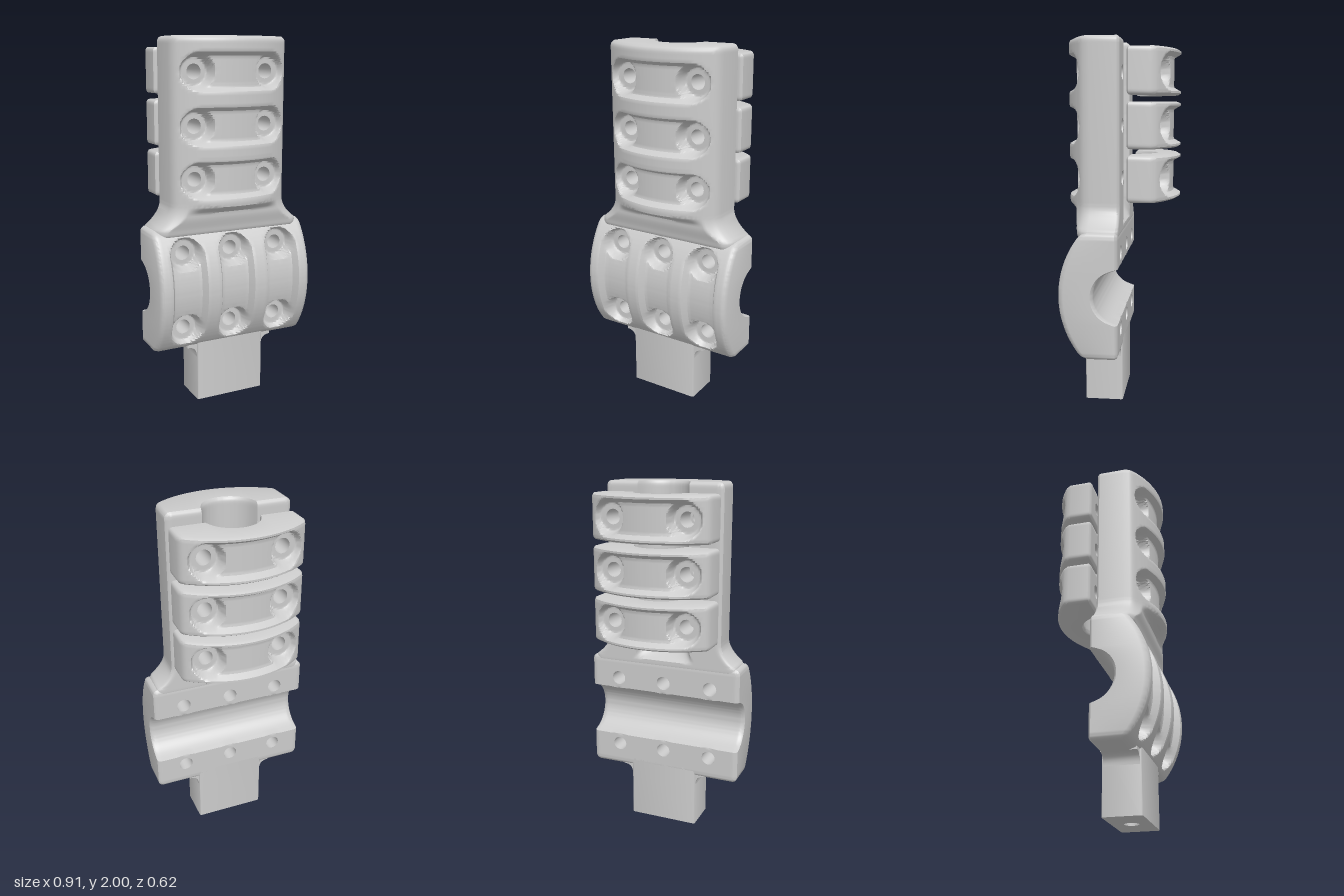
import * as THREE from 'three';
import { toCreasedNormals } from 'three/addons/utils/BufferGeometryUtils.js';

const STEP = 0.01, HALF = 0.34;         // grid step and clamp half width
const HOLE_R = 0.04, HOLE_A = 0.21;     // screw holes
const BORE_R = 0.1475, BORE_Z = -0.0225;
const material = new THREE.MeshStandardMaterial({ color: 0xcccccc });
const smooth = (e0, e1, v) => THREE.MathUtils.smoothstep(v, e0, e1);

// Domed outer face across the clamp
const dome = (a) => 0.31 - 0.52 + Math.sqrt(0.52 ** 2 - a * a);

// Domed face with one long pocket and two round screw seats per row
function pocketedFace(a, b, rows) {
  let z = dome(a);
  for (const row of rows) {
    const over = Math.max(0, Math.abs(a) - 0.2);
    const inside = 0.105 - Math.hypot(over, b - row);
    if (inside <= 0) continue;
    z -= 0.042 * smooth(0, 0.03, inside);
    const seat = Math.hypot(Math.abs(a) - HOLE_A, b - row);
    z = THREE.MathUtils.lerp(z, Math.min(z, 0.185), 1 - smooth(0.07, 0.092, seat));
  }
  return z;
}

// Flat mating face with the half-round bore
function boredFace(a, flat, boreZ, amount = 1) {
  const w = BORE_R * BORE_R - a * a;
  const z = w > 0 ? boreZ + Math.sqrt(w) : flat;
  return flat + Math.max(0, z - flat) * amount;
}

// Solid between a front and a back height field, with screw holes and rounded edges
function clampGeometry({ b0, b1, rows, r, front, back, halfWidth = () => HALF }) {
  const nx = Math.round(2 * HALF / STEP), ny = Math.round((b1 - b0) / STEP);
  const holes = rows.flatMap((row) => [-HOLE_A, HOLE_A].map((a) => [a, row]));
  const inner = 3 * STEP, outer = 8 * STEP;
  const pos = [], idx = [];

  for (let j = 0; j <= ny; j++) for (let i = 0; i <= nx; i++) {
    let a = -HALF + i * STEP, b = b0 + j * STEP;
    // bend the grid round each hole
    for (const [ha, hb] of holes) {
      const u = a - ha, v = b - hb, c = Math.max(Math.abs(u), Math.abs(v));
      if (c >= outer - 1e-6 || c < 1e-6) continue;
      const t = Math.max(0, (c - inner) / (outer - inner));
      const k = THREE.MathUtils.lerp(HOLE_R / Math.hypot(u, v), outer / c, t);
      a = ha + u * k;
      b = hb + v * k;
      break;
    }
    // round the four corners and the rims
    const mid = (b0 + b1) / 2;
    const ea = Math.abs(a) - (HALF - r), eb = Math.abs(b - mid) - ((b1 - b0) / 2 - r);
    const e = Math.min(r, Math.max(ea, eb, 0));
    if (ea > 0 && eb > 0) {
      const k = 1 - Math.max(ea, eb) / Math.hypot(ea, eb);
      a -= Math.sign(a) * ea * k;
      b -= Math.sign(b - mid) * eb * k;
    }
    const drop = r - Math.sqrt(Math.max(0, r * r - e * e));
    const x = a * halfWidth(b) / HALF;
    pos.push(x, b, front(a, b) - drop, x, b, back(a, b) + drop * 0.5);
  }

  const solid = (i, j) => {
    if (i < 0 || j < 0 || i >= nx || j >= ny) return false;
    const a = -HALF + (i + 0.5) * STEP, b = b0 + (j + 0.5) * STEP;
    return !holes.some(([ha, hb]) => Math.max(Math.abs(a - ha), Math.abs(b - hb)) < inner);
  };
  const F = (i, j) => 2 * (j * (nx + 1) + i);
  const quad = (p, q, s, t) => idx.push(p, q, s, p, s, t);
  for (let j = 0; j < ny; j++) for (let i = 0; i < nx; i++) {
    if (!solid(i, j)) continue;
    const c = [F(i, j), F(i + 1, j), F(i + 1, j + 1), F(i, j + 1)];
    quad(...c);
    quad(c[3] + 1, c[2] + 1, c[1] + 1, c[0] + 1);
    // walls on the outside and in the holes
    [[0, -1], [1, 0], [0, 1], [-1, 0]].forEach(([di, dj], k) => {
      if (solid(i + di, j + dj)) return;
      const p = c[k], q = c[(k + 1) % 4];
      quad(p + 1, q + 1, q, p);
    });
  }
  const g = new THREE.BufferGeometry();
  g.setAttribute('position', new THREE.Float32BufferAttribute(pos, 3));
  g.setIndex(idx);
  return toCreasedNormals(g, 0.7);
}

export function createModel() {
  const model = new THREE.Group();
  const add = (name, geometry) => {
    const mesh = new THREE.Mesh(geometry, material);
    mesh.name = name;
    model.add(mesh);
    return mesh;
  };
  const upperRows = [1.26, 1.54, 1.82];

  // Upright clamp with the neck flaring down to the cross clamp
  add('upperClampAndNeck', clampGeometry({
    b0: 0.95, b1: 2, rows: upperRows, r: 0.03,
    halfWidth: (b) => Math.min(0.43, HALF + 0.1 * (Math.max(0, 1.13 - b) / 0.14) ** 2),
    front: (a, b) => {
      const z = pocketedFace(a, b, upperRows);
      const neck = Math.min(z, 0.215 + 0.02 * smooth(0.97, 1.07, b));
      return THREE.MathUtils.lerp(neck, z, smooth(1.075, 1.125, b));
    },
    back: (a, b) => boredFace(a, -0.005, BORE_Z, THREE.MathUtils.clamp((b - 1) / 0.1, 0, 1)),
  }));

  // Cross clamp, the same section turned sideways
  const crossRows = [-0.28, 0, 0.28];
  const cross = add('crossClamp', clampGeometry({
    b0: -0.45, b1: 0.45, rows: crossRows, r: 0.03,
    front: (a, b) => pocketedFace(a, b, crossRows),
    back: (a) => boredFace(a, -0.005, BORE_Z),
  }));
  cross.rotation.z = Math.PI / 2;
  cross.scale.y = 1.011;
  cross.position.y = 0.655;

  // Three loose caps behind the upright clamp
  const capGeometry = clampGeometry({
    b0: -0.12, b1: 0.12, rows: [0], r: 0.02,
    front: (a, b) => pocketedFace(a, b, [0]),
    back: (a) => boredFace(a, 0.04, -BORE_Z),
  });
  upperRows.forEach((y, i) => {
    const cap = add('clampCap' + (i + 1), capGeometry);
    cap.rotation.y = Math.PI;
    cap.position.y = y + 0.003;
    cap.scale.y = 1.02;
  });

  // Stem with a hole up from its foot
  const w = 0.203, d = 0.105, c = 0.012;
  const foot = new THREE.Shape();
  foot.moveTo(-w + c, -d).lineTo(w - c, -d).quadraticCurveTo(w, -d, w, -d + c);
  foot.lineTo(w, d - c).quadraticCurveTo(w, d, w - c, d);
  foot.lineTo(-w + c, d).quadraticCurveTo(-w, d, -w, d - c);
  foot.lineTo(-w, -d + c).quadraticCurveTo(-w, -d, -w + c, -d);
  foot.holes.push(new THREE.Path().absarc(0, 0, 0.04, 0, Math.PI * 2, true));
  const stem = new THREE.ExtrudeGeometry(foot, { depth: 0.36, bevelEnabled: false, curveSegments: 8 });
  stem.rotateX(-Math.PI / 2).translate(0, 0, 0.1);
  add('stem', toCreasedNormals(stem, 0.7));

  // Fillets where the stem meets the cross clamp
  const flare = new THREE.Shape();
  flare.moveTo(-0.26, 0.34).lineTo(-0.26, 0.315).quadraticCurveTo(-w, 0.315, -w, 0.255);
  flare.lineTo(w, 0.255).quadraticCurveTo(w, 0.315, 0.26, 0.315).lineTo(0.26, 0.34);
  const fillet = new THREE.ExtrudeGeometry(flare, { depth: 0.19, bevelEnabled: false, curveSegments: 8 });
  fillet.translate(0, 0, 0.004);
  add('stemFillet', toCreasedNormals(fillet, 0.7));

  return model;
}
